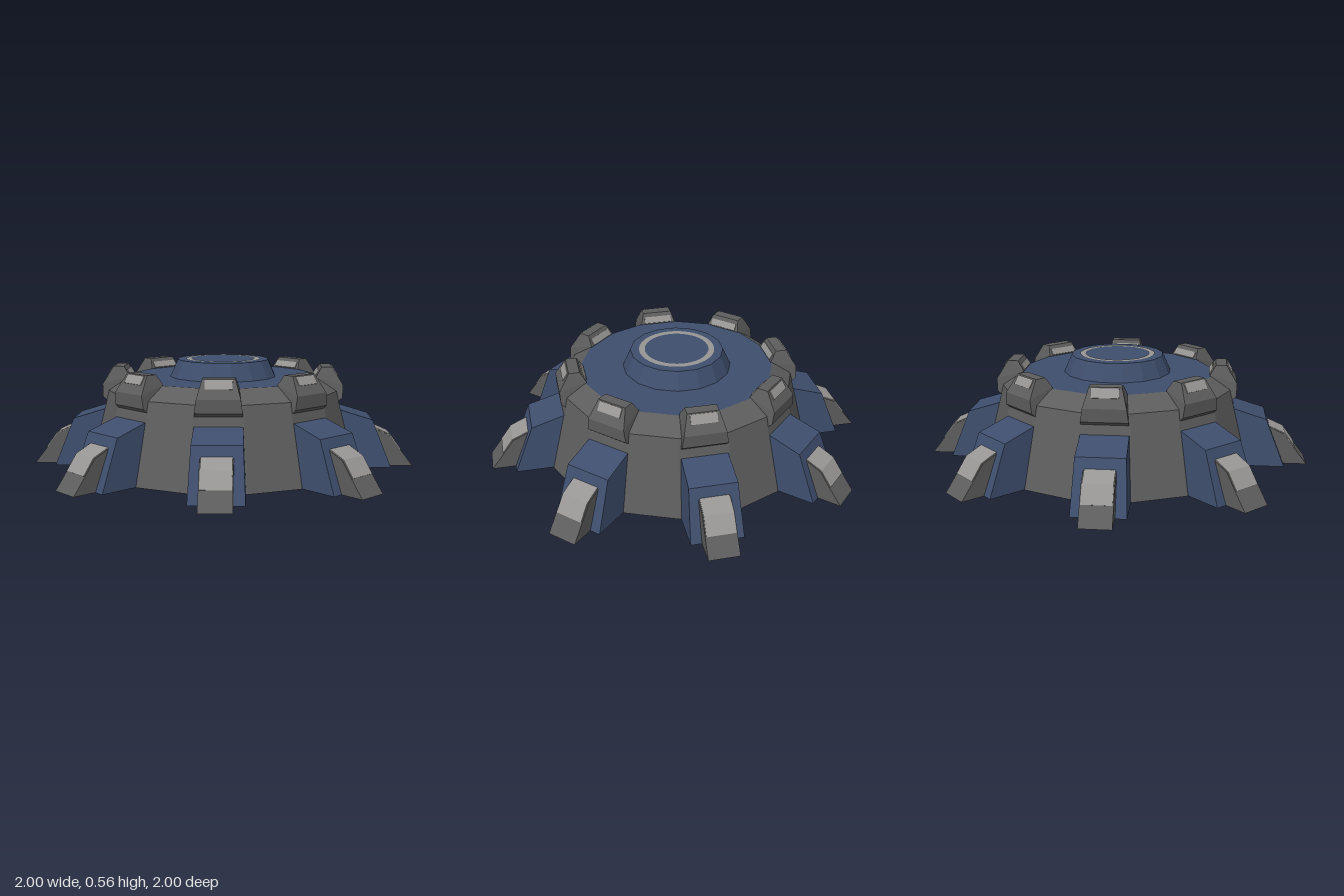
import * as THREE from 'three';
import { ConvexGeometry } from 'three/addons/geometries/ConvexGeometry.js';

const makeMaterial = (name, color, side = THREE.FrontSide) =>
  Object.assign(new THREE.MeshStandardMaterial({ color, side }), { name });

function addMesh(parent, name, geometry, material) {
  const flat = geometry.index ? geometry.toNonIndexed() : geometry;
  flat.computeVertexNormals();
  const mesh = new THREE.Mesh(flat, material);
  mesh.name = name;
  parent.add(mesh);
  return mesh;
}

const toShape = (points) => new THREE.Shape(points.map(([a, b]) => new THREE.Vector2(a, b)));

// Side profile in (radius, height), extruded across the width
function prism(profile, width, centre = 0) {
  const g = new THREE.ExtrudeGeometry(toShape(profile), { depth: width, bevelEnabled: false });
  return g.rotateY(-Math.PI / 2).translate(width / 2 + centre, 0, 0);
}

function reshape(geometry, rule) {
  const p = geometry.attributes.position;
  for (let i = 0; i < p.count; i++) p.setXYZ(i, ...rule(p.getX(i), p.getY(i), p.getZ(i)));
  return geometry;
}

// One mitred facet of the sloping wall, optionally with an opening
function wallPanel(open) {
  const shape = toShape([[-1, 0], [1, 0], [1, 0.4], [-1, 0.4]]);
  if (open) shape.holes.push(new THREE.Path(
    [[-0.86, 0.03], [-0.86, 0.29], [0.86, 0.29], [0.86, 0.03]].map(([a, b]) => new THREE.Vector2(a, b))));
  const g = new THREE.ExtrudeGeometry(shape, { depth: 0.03, bevelEnabled: false });
  return reshape(g, (u, y, d) => {
    const z = 0.687 - 0.03 - 0.245 * y + d;
    return [u * z * Math.tan(Math.PI / 16), y, z];
  });
}

export function createModel() {
  const blue = makeMaterial('navy blue', 0x3e4e6d);
  const blueSheet = makeMaterial('navy blue sheet', 0x3e4e6d, THREE.DoubleSide);
  const grey = makeMaterial('dark grey', 0x5d5d5d);
  const greySheet = makeMaterial('dark grey sheet', 0x5d5d5d, THREE.DoubleSide);
  const light = makeMaterial('light grey', 0x979694);
  const model = new THREE.Group();
  model.name = 'landingBase';

  // Sixteen-sided wall, open below
  for (let i = 0; i < 16; i++) {
    addMesh(model, 'wallPanel', wallPanel(i % 2 === 0), grey).rotation.y = i * Math.PI / 8;
  }

  // Sloping rim, deck with raised hub, and hub ring
  const lathe = (pts) => new THREE.LatheGeometry(
    pts.map(([r, y]) => new THREE.Vector2(r, y)), 16, Math.PI / 16);
  addMesh(model, 'rim', lathe([[0.6, 0.4], [0.5, 0.465]]), greySheet);
  addMesh(model, 'deck', lathe([[0.5, 0.465], [0.28, 0.465], [0.24, 0.555], [0, 0.555]]), blueSheet);
  const ring = new THREE.RingGeometry(0.165, 0.195, 32).rotateX(-Math.PI / 2).translate(0, 0.557, 0);
  addMesh(model, 'hubRing', ring, light);

  // Leg parts, shared by all eight legs: the housing is a shell open below and behind
  const taper = (g) => reshape(g, (x, y, z) => [x * (1.13 - 0.42 * y), y, z]);
  const cheek = [[0.67, 0], [0.585, 0.31], [0.78, 0.25], [0.88, 0]];
  const roof = [[0.585, 0.31], [0.78, 0.25], [0.765, 0.23], [0.59, 0.285]];
  const frontWall = [[0.78, 0.25], [0.88, 0], [0.855, 0], [0.76, 0.235]];
  const claw = [[1, 0], [0.935, 0.085], [0.88, 0.16], [0.78, 0.205], [0.74, 0.17], [0.83, 0]];
  const clawFace = [[0.935, 0.085], [0.88, 0.16], [0.78, 0.205], [0.783, 0.209], [0.883, 0.164], [0.939, 0.087]];

  // Knob cross-sections: radius, height, half width
  const knob = [[0.56, 0.31, 0.113], [0.622, 0.365, 0.113], [0.625, 0.43, 0.104], [0.57, 0.52, 0.078],
    [0.515, 0.52, 0.078], [0.485, 0.47, 0.095], [0.49, 0.36, 0.1]];
  const knobPoints = knob.flatMap(([r, y, w]) =>
    [new THREE.Vector3(-w, y, r), new THREE.Vector3(w, y, r)]);
  const outerStrip = [[0.573, 0.515], [0.598, 0.474], [0.602, 0.476], [0.577, 0.517]];
  const innerStrip = [[0.485, 0.47], [0.503, 0.5], [0.499, 0.503], [0.481, 0.473]];

  for (let i = 0; i < 8; i++) {
    const leg = new THREE.Group();
    leg.name = 'leg';
    leg.rotation.y = i * Math.PI / 4;
    for (const s of [-1, 1]) {
      addMesh(leg, 'housingCheek', taper(prism(cheek, 0.02, s * 0.105)), blue);
    }
    addMesh(leg, 'housingRoof', taper(prism(roof, 0.2)), blue);
    addMesh(leg, 'housingFront', taper(prism(frontWall, 0.2)), blue);
    addMesh(leg, 'claw', prism(claw, 0.152), grey);
    addMesh(leg, 'clawFace', prism(clawFace, 0.142), light);
    addMesh(leg, 'knob', new ConvexGeometry(knobPoints), grey);
    addMesh(leg, 'knobOuterStrip', prism(outerStrip, 0.13), light);
    addMesh(leg, 'knobInnerStrip', prism(innerStrip, 0.15), light);
    model.add(leg);
  }
  return model;
}
